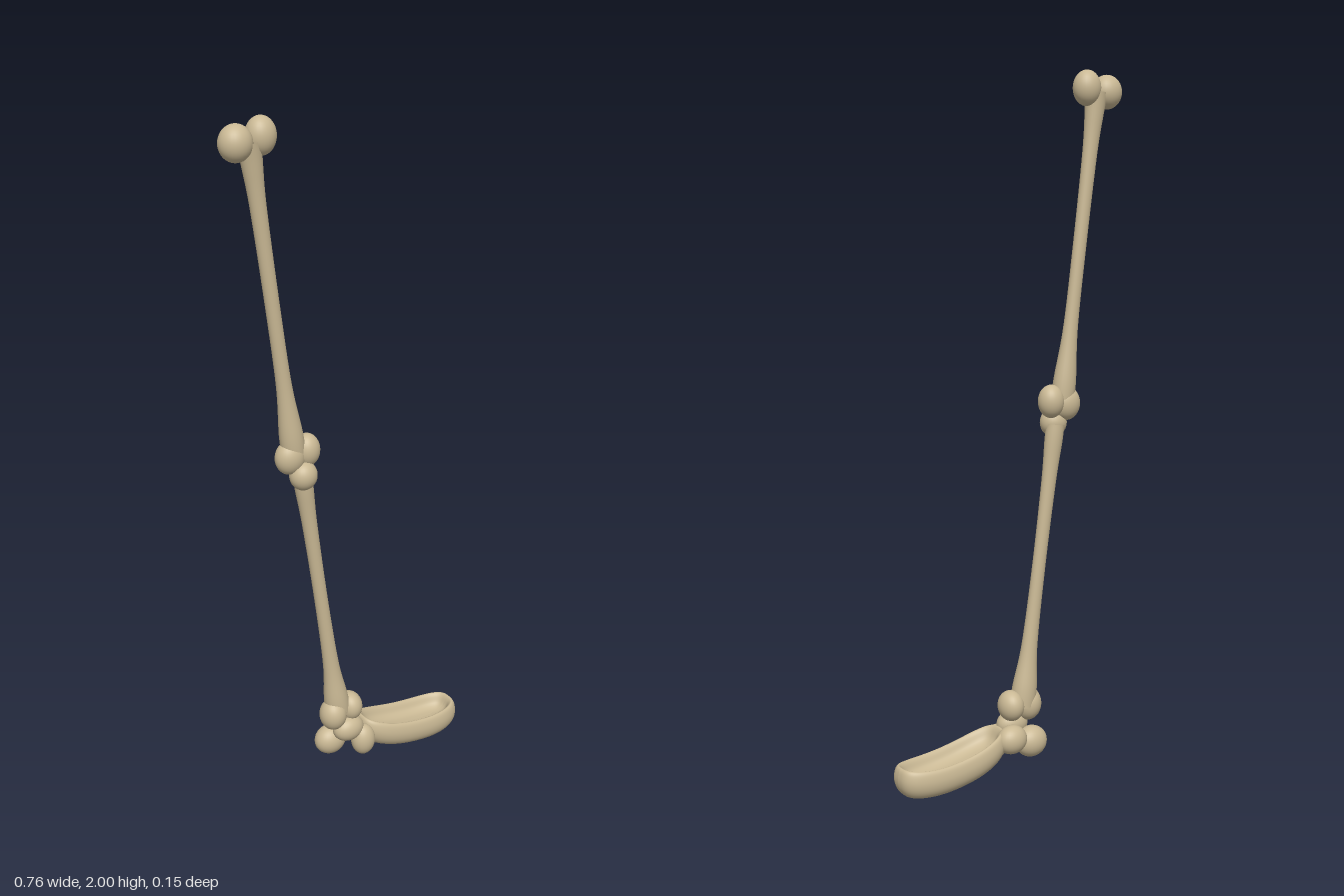
import * as THREE from 'three';

const bone = new THREE.MeshStandardMaterial({ color: 0xc9b894, side: THREE.DoubleSide });

// Ellipsoid joint knob
function knob(name, [x, y, z], [rx, ry, rz]) {
  const mesh = new THREE.Mesh(new THREE.SphereGeometry(1, 28, 20), bone);
  mesh.name = name;
  mesh.position.set(x, y, z);
  mesh.scale.set(rx, ry, rz);
  return mesh;
}

// Long bone: turned profile [t, radius] laid between two points, narrowed in z
function shaft(name, from, to, profile, depth) {
  const a = new THREE.Vector2(...from), b = new THREE.Vector2(...to);
  const length = a.distanceTo(b);
  const curve = new THREE.SplineCurve(profile.map(([t, r]) => new THREE.Vector2(r, t * length)));
  const mesh = new THREE.Mesh(new THREE.LatheGeometry(curve.getPoints(40), 24), bone);
  mesh.name = name;
  mesh.position.set(a.x, a.y, 0);
  mesh.rotation.z = -Math.atan2(b.x - a.x, b.y - a.y);
  mesh.scale.z = depth;
  return mesh;
}

// Hollowed scoop: rounded outline rings swept through an [inset, height] section, bent along x
function scoop() {
  const cx = 0.205, hx = 0.175, hz = 0.072, around = 64;
  const section = new THREE.SplineCurve([
    [0.072, 0], [0.045, 0], [0.02, 0.006], [0.005, 0.025], [0, 0.05], [0.004, 0.075],
    [0.012, 0.086], [0.021, 0.079], [0.032, 0.06], [0.05, 0.05], [0.072, 0.048],
  ].map(p => new THREE.Vector2(...p))).getPoints(40);
  const pos = [], index = [];
  section.forEach((p, i) => {
    const inset = Math.min(Math.max(p.x, 0), hz);
    for (let j = 0; j <= around; j++) {
      const a = (j / around) * Math.PI * 2, c = Math.cos(a), s = Math.sin(a);
      const x = cx + (hx - inset) * Math.sign(c) * Math.abs(c) ** 0.7;
      const z = (hz - inset) * Math.sign(s) * Math.abs(s) ** 0.7;
      pos.push(x, p.y + 0.005 + 0.87 * (x - 0.29) ** 2, z);
      if (i && j) {
        const q = i * (around + 1) + j, r = q - around - 1;
        index.push(r - 1, q - 1, r, r, q - 1, q);
      }
    }
  });
  const geo = new THREE.BufferGeometry();
  geo.setAttribute('position', new THREE.Float32BufferAttribute(pos, 3));
  geo.setIndex(index);
  geo.computeVertexNormals();
  const mesh = new THREE.Mesh(geo, bone);
  mesh.name = 'scoop';
  return mesh;
}

export function createModel() {
  const model = new THREE.Group();
  model.name = 'boneStaff';

  // Two long bones, listed from their lower end up
  model.add(
    shaft('upperBone', [-0.183, 1.06], [-0.298, 1.94],
      [[0, 0.032], [0.08, 0.034], [0.25, 0.022], [0.5, 0.02], [0.8, 0.022], [0.93, 0.028], [1, 0.034]], 0.9),
    shaft('lowerBone', [-0.045, 0.19], [-0.16, 1.01],
      [[0, 0.038], [0.07, 0.037], [0.22, 0.024], [0.5, 0.02], [0.8, 0.022], [0.94, 0.027], [1, 0.027]], 0.9),
  );

  // Knobs at the top end, middle joint and lower joint
  model.add(
    knob('topKnobRight', [-0.337, 1.94, 0.003], [0.045, 0.048, 0.041]),
    knob('topKnobLeft', [-0.264, 1.95, 0], [0.041, 0.05, 0.038]),
    knob('middleKnobRight', [-0.197, 1.067, 0], [0.044, 0.049, 0.036]),
    knob('middleKnobLeft', [-0.144, 1.077, 0], [0.038, 0.048, 0.037]),
    knob('middleKnobFront', [-0.166, 1.012, 0.018], [0.04, 0.042, 0.037]),
    knob('lowerKnobRight', [-0.066, 0.192, 0.005], [0.041, 0.05, 0.042]),
    knob('lowerKnobLeft', [-0.004, 0.198, 0], [0.037, 0.045, 0.043]),
  );

  // Cluster of knobs holding the scoop
  model.add(
    knob('heelKnob', [-0.06, 0.085, -0.022], [0.05, 0.046, 0.04]),
    knob('clusterKnobTop', [-0.022, 0.135, 0.02], [0.05, 0.04, 0.036]),
    knob('clusterKnobBack', [0.021, 0.113, -0.04], [0.047, 0.042, 0.037]),
    knob('clusterKnobFront', [0.023, 0.086, 0.034], [0.038, 0.05, 0.034]),
  );

  model.add(scoop());
  return model;
}
